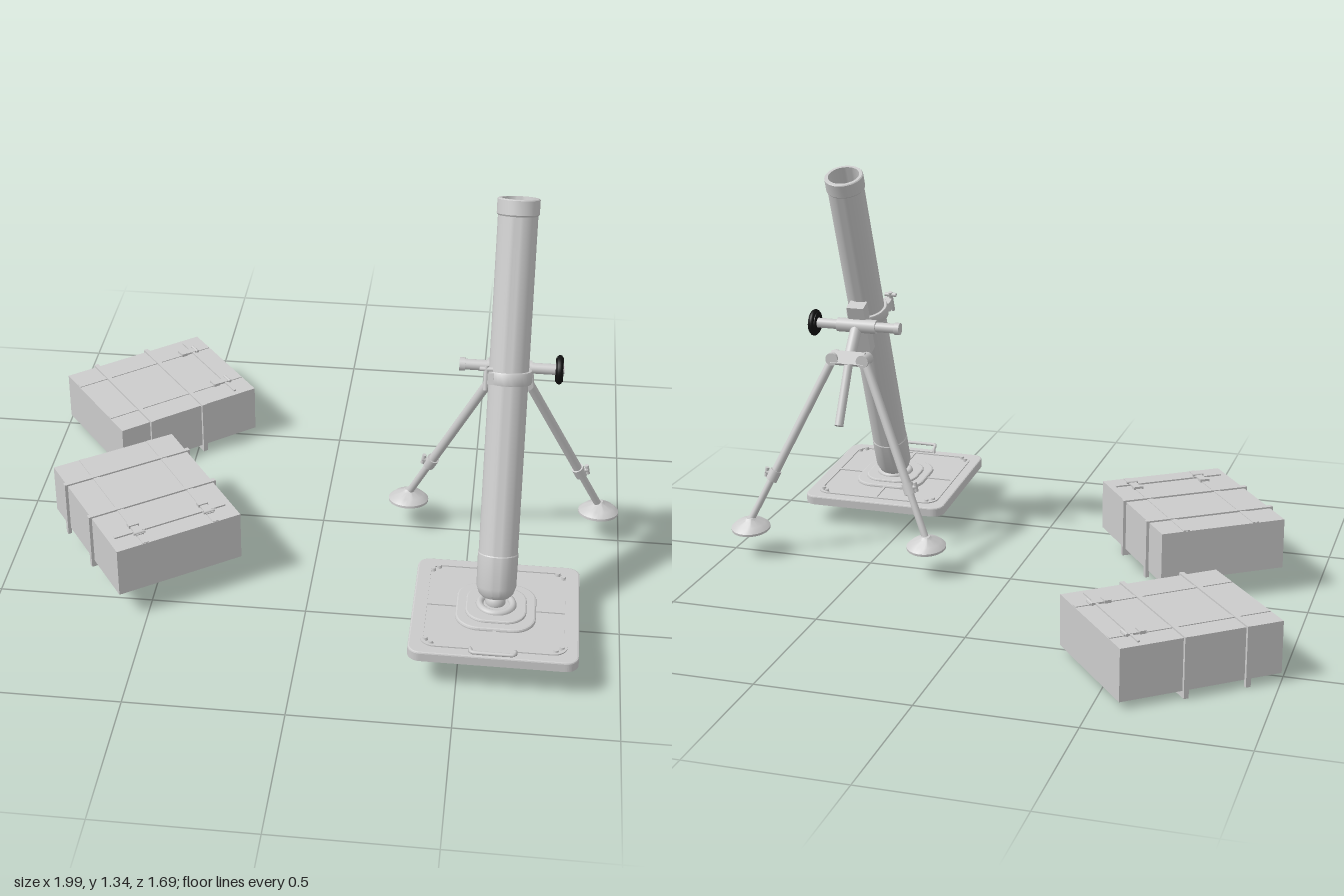
import * as THREE from 'three';
import { toCreasedNormals } from 'three/addons/utils/BufferGeometryUtils.js';

const grey = new THREE.MeshStandardMaterial({ color: 0xcccccc });
const greyThin = new THREE.MeshStandardMaterial({ color: 0xcccccc, side: THREE.DoubleSide });
const black = new THREE.MeshStandardMaterial({ color: 0x111111 });

function add(parent, name, geo, x = 0, y = 0, z = 0, mat = grey) {
  const m = new THREE.Mesh(geo, mat);
  m.name = name;
  m.position.set(x, y, z);
  parent.add(m);
  return m;
}
const box = (parent, name, w, h, d, x, y, z) => add(parent, name, new THREE.BoxGeometry(w, h, d), x, y, z);

function rod(parent, name, a, b, r0, r1 = r0, mat = grey) {
  const p = new THREE.Vector3(...a), q = new THREE.Vector3(...b), d = q.clone().sub(p);
  const m = add(parent, name, new THREE.CylinderGeometry(r1, r0, d.length(), 20), 0, 0, 0, mat);
  m.position.copy(p).add(q).multiplyScalar(0.5);
  m.quaternion.setFromUnitVectors(new THREE.Vector3(0, 1, 0), d.normalize());
  return m;
}
function lathe(points, seg = 40) {
  return toCreasedNormals(new THREE.LatheGeometry(points.map(p => new THREE.Vector2(...p)), seg), 0.5);
}
// Rounded rectangle, as a Shape or a Path for holes
function roundRect(w, d, r, Type = THREE.Shape) {
  const s = new Type(), x = w / 2, y = d / 2, q = Math.PI / 2;
  s.absarc(x - r, y - r, r, 0, q);
  s.absarc(-x + r, y - r, r, q, 2 * q);
  s.absarc(-x + r, -y + r, r, 2 * q, 3 * q);
  s.absarc(x - r, -y + r, r, 3 * q, 4 * q);
  s.closePath();
  return s;
}
// Flat plate or frame lying on y = 0
function slab(w, d, r, h, hole = 0, bevel = 0) {
  const s = roundRect(w, d, r);
  if (hole) s.holes.push(roundRect(w - 2 * hole, d - 2 * hole, Math.max(r - hole, 0.006), THREE.Path));
  const g = new THREE.ExtrudeGeometry(s, {
    depth: h - bevel, curveSegments: 6, bevelEnabled: bevel > 0,
    bevelSize: bevel, bevelThickness: bevel, bevelOffset: -bevel, bevelSegments: 2,
  });
  return g.rotateX(-Math.PI / 2);
}

// Ammunition crate: long side on local x, fastened end at +x
function crate(x, y, z, angle) {
  const g = new THREE.Group();
  g.name = 'crate';
  g.position.set(x, y, z);
  g.rotation.y = angle;
  const L = 0.534, W = 0.432;
  box(g, 'crateBody', L, 0.168, W, 0, 0.106, 0);
  for (const sx of [-0.15, 0.055]) {
    box(g, 'topBatten', 0.016, 0.007, W + 0.02, sx, 0.192, 0);
    for (const s of [-1, 1]) {
      box(g, 'sideBatten', 0.016, 0.195, 0.012, sx, 0.0975, s * (W / 2 + 0.004));
      if (sx > 0) box(g, 'foot', 0.016, 0.023, 0.11, sx, 0.0115, s * (W / 2 - 0.055));
    }
  }
  for (const sz of [-0.13, 0.115]) {
    box(g, 'topStrap', L - 0.004, 0.003, 0.022, 0, 0.191, sz);
    // Latch with plate, catch and pin
    box(g, 'latchPlate', 0.07, 0.006, 0.026, 0.185, 0.193, sz);
    box(g, 'latchCatch', 0.022, 0.01, 0.034, 0.16, 0.195, sz);
    rod(g, 'latchPin', [0.212, 0.196, sz - 0.02], [0.212, 0.196, sz + 0.02], 0.005);
  }
  box(g, 'lidHinge', 0.008, 0.008, W * 0.9, 0.197, 0.191, 0);
  return g;
}

function basePlate() {
  const g = new THREE.Group();
  g.name = 'basePlate';
  g.position.set(0.608, 0.086, 0.567);
  g.rotation.x = -0.06;
  add(g, 'plateRim', slab(0.52, 0.52, 0.04, 0.026, 0.022), 0, 0, 0);
  add(g, 'plateTop', slab(0.52, 0.52, 0.04, 0.014, 0, 0.005), 0, 0.018, 0);
  add(g, 'borderRidge', slab(0.45, 0.45, 0.045, 0.006, 0.01), 0, 0.03, 0);
  add(g, 'socketPad', slab(0.25, 0.25, 0.075, 0.012, 0, 0.006), 0, 0.03, 0);
  add(g, 'socketStep', slab(0.19, 0.19, 0.065, 0.01, 0, 0.005), 0, 0.04, 0);
  add(g, 'socketRing', new THREE.TorusGeometry(0.052, 0.012, 10, 32).rotateX(Math.PI / 2), 0, 0.05, 0);
  add(g, 'undersideRing', new THREE.TorusGeometry(0.05, 0.01, 8, 32).rotateX(Math.PI / 2), 0, 0.014, 0);
  add(g, 'undersideFrame', slab(0.25, 0.25, 0.07, 0.012, 0.01), 0, 0.008, 0);
  for (let i = 0; i < 4; i++) {
    const arm = new THREE.Group();
    arm.name = 'plateRibs';
    arm.rotation.y = i * Math.PI / 2;
    g.add(arm);
    box(arm, 'topRib', 0.01, 0.006, 0.1, 0, 0.033, 0.17);
    box(arm, 'undersideRib', 0.01, 0.012, 0.125, 0, 0.014, 0.18);
    for (const s of [-1, 1])
      add(arm, 'plateStud', new THREE.CylinderGeometry(0.007, 0.009, 0.012, 12), s * 0.19, 0.036, 0.208);
  }
  // Carrying handle at the front edge
  const bar = new THREE.CatmullRomCurve3([[-0.068, 0.03, 0.235], [-0.068, 0.05, 0.245], [-0.06, 0.053, 0.268],
    [0.06, 0.053, 0.268], [0.068, 0.05, 0.245], [0.068, 0.03, 0.235]].map(p => new THREE.Vector3(...p)), false, 'catmullrom', 0.2);
  add(g, 'handle', new THREE.TubeGeometry(bar, 40, 0.006, 10));
  box(g, 'handleMount', 0.13, 0.012, 0.022, 0, 0.035, 0.235);
  return g;
}

function barrel() {
  const g = new THREE.Group();
  g.name = 'barrelAssembly';
  g.position.set(0.605, 0.155, 0.55);
  g.rotation.x = -0.365;
  add(g, 'barrel', lathe([[0, 0], [0.042, 0], [0.054, 0.012], [0.062, 0.035], [0.063, 0.14], [0.061, 0.143],
    [0.061, 1.195], [0.065, 1.2], [0.065, 1.244], [0.062, 1.247], [0.052, 1.247], [0.052, 0.2], [0, 0.2]]));
  add(g, 'breechBall', new THREE.SphereGeometry(0.032, 24, 16), 0, -0.014, 0);
  // Clamp collar with its screw
  add(g, 'collar', lathe([[0.058, 0.68], [0.07, 0.68], [0.072, 0.684], [0.072, 0.716], [0.07, 0.72], [0.058, 0.72]]));
  box(g, 'collarLug', 0.028, 0.034, 0.04, -0.058, 0.7, 0.05);
  rod(g, 'collarScrew', [-0.068, 0.665, 0.065], [-0.068, 0.74, 0.065], 0.007);
  rod(g, 'screwGrip', [-0.088, 0.73, 0.065], [-0.048, 0.73, 0.065], 0.007);
  box(g, 'recoilBlock', 0.06, 0.19, 0.044, 0, 0.685, -0.078);
  return g;
}

function bipod() {
  const g = new THREE.Group();
  g.name = 'bipod';
  const cx = 0.607, y = 0.782, z = 0.2;
  rod(g, 'crossbar', [0.45, y, z], [0.75, y, z], 0.017);
  rod(g, 'crossbarSleeve', [0.535, y, z], [0.675, y, z], 0.024);
  rod(g, 'crossbarEnd', [0.45, y, z], [0.468, y, z], 0.021);
  // Handwheel
  rod(g, 'handwheel', [0.748, y, z], [0.772, y, z], 0.038, 0.038, black);
  add(g, 'handwheelRim', new THREE.TorusGeometry(0.036, 0.01, 12, 36).rotateY(Math.PI / 2), 0.76, y, z, black);
  rod(g, 'wheelHub', [0.74, y, z], [0.776, y, z], 0.013);
  // Elevating column and leg head
  rod(g, 'elevatingColumn', [cx, y, z], [cx, 0.69, 0.125], 0.02);
  rod(g, 'elevatingTube', [cx, 0.69, 0.125], [cx, 0.48, 0.01], 0.015);
  const head = box(g, 'legHead', 0.12, 0.045, 0.04, cx, 0.686, 0.122);
  head.rotation.x = 0.45;
  const foot = lathe([[0, 0.028], [0.014, 0.028], [0.022, 0.02], [0.05, 0.009], [0.067, -0.006], [0.067, -0.014],
    [0.061, -0.01], [0.04, 0.002], [0, 0.006]], 32);
  for (const s of [-1, 1]) {
    const top = new THREE.Vector3(cx + s * 0.055, 0.69, 0.12);
    const end = new THREE.Vector3(cx + s * 0.32, 0.12, -0.03);
    const at = t => top.clone().lerp(end, t).toArray();
    rod(g, 'legHinge', [cx + s * 0.055, 0.686, 0.095], [cx + s * 0.055, 0.686, 0.148], 0.022);
    rod(g, 'upperLeg', at(0), at(0.72), 0.015);
    rod(g, 'lowerLeg', at(0.7), at(1), 0.012);
    rod(g, 'legClamp', at(0.69), at(0.75), 0.02);
    const k = at(0.72);
    rod(g, 'clampScrew', k, [k[0] + s * 0.028, k[1] + 0.012, k[2]], 0.008);
    rod(g, 'clampGrip', [k[0] + s * 0.028, k[1] - 0.006, k[2]], [k[0] + s * 0.022, k[1] + 0.026, k[2]], 0.007);
    const f = add(g, 'footPad', foot, cx + s * 0.32, 0.106, -0.03, greyThin);
    f.rotation.x = -0.13;
    rod(g, 'footSpike', [cx + s * 0.32, 0.068, -0.035], [cx + s * 0.32, 0.12, -0.03], 0.004, 0.014);
  }
  return g;
}

export function createModel() {
  const model = new THREE.Group();
  model.name = 'mortarWithCrates';
  model.add(basePlate(), barrel(), bipod());
  model.add(crate(-0.655, 0, -0.519, 0.671), crate(-0.56, 0.063, 0.25, -0.963));
  return model;
}
